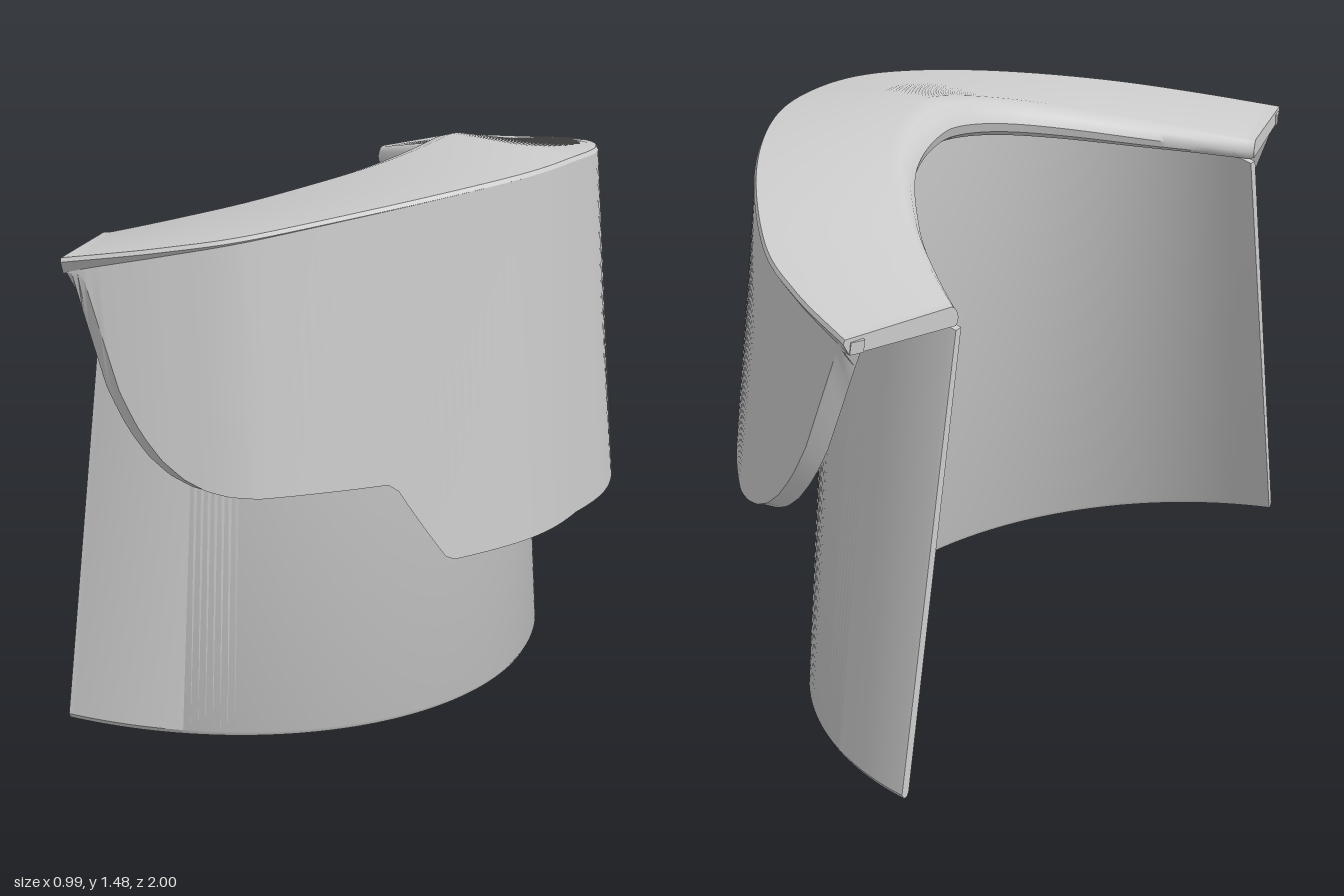
import * as THREE from 'three';
import { toCreasedNormals } from 'three/addons/utils/BufferGeometryUtils.js';

const SEG = 140;
const lerp = THREE.MathUtils.lerp;

// Plan curve (x, z) through half the points, mirrored across z = 0
function planCurve(half) {
  const pts = [
    ...half.slice(1).reverse().map(([x, z]) => new THREE.Vector2(x, -z)),
    ...half.map(([x, z]) => new THREE.Vector2(x, z)),
  ];
  return new THREE.SplineCurve(pts);
}

// Piecewise-linear lookup in [key, value] rows with rising keys
function lookup(rows, k) {
  if (k <= rows[0][0]) return rows[0][1];
  for (let i = 1; i < rows.length; i++) {
    const [k0, v0] = rows[i - 1], [k1, v1] = rows[i];
    if (k <= k1) return lerp(v0, v1, (k - k0) / (k1 - k0));
  }
  return rows[rows.length - 1][1];
}

// Closed solid through cross-sections running from -z to +z
function loft(section) {
  const pos = [], idx = [];
  let n = 0;
  for (let i = 0; i <= SEG; i++) {
    const s = section(i / SEG);
    n = s.length;
    s.forEach((p) => pos.push(...p));
  }
  for (let i = 0; i < SEG; i++) {
    for (let j = 0; j < n; j++) {
      const a = i * n + j, b = i * n + (j + 1) % n;
      idx.push(a, b, b + n, a, b + n, a + n);
    }
  }
  const e = SEG * n;
  for (let j = 1; j < n - 1; j++) idx.push(0, j + 1, j, e, e + j, e + j + 1);
  const g = new THREE.BufferGeometry();
  g.setAttribute('position', new THREE.Float32BufferAttribute(pos, 3));
  g.setIndex(idx);
  return toCreasedNormals(g, 0.6);
}

const outerEdge = planCurve([[0.468, 0], [0.43, 0.23], [0.27, 0.5], [0.02, 0.77], [-0.18, 0.9], [-0.4, 1]]);
const innerEdge = planCurve([[0.03, 0], [-0.02, 0.21], [-0.18, 0.42], [-0.34, 0.57], [-0.49, 0.69]]);
const outerTop = (z) => 1.447 - 0.157 * Math.pow(Math.abs(z), 1.8);

// Curved top band with a rounded inner lip that fades towards both ends
function capSection(u) {
  const t = Math.abs(2 * u - 1);
  const o = outerEdge.getPoint(u), i = innerEdge.getPoint(u);
  const crest = lerp(0.2, 0.06, t), h = lerp(0.11, 0.05, t);
  const yO = outerTop(o.y);
  const zC = Math.min(1, Math.abs(lerp(i.y, o.y, crest)) / 0.7);
  const yC = 1.29 + 0.19 * (1 - Math.pow(zC, 1.3));
  const at = (f, y) => [lerp(i.x, o.x, f), y, lerp(i.y, o.y, f)];
  return [
    at(0.95, yO - 0.04), at(1, yO - 0.01), at(0.985, yO),
    at(crest, yC), at(crest * 0.55, yC - h * 0.1), at(crest * 0.2, yC - h * 0.3),
    at(0, yC - h * 0.6), at(crest * 0.1, yC - h * 0.85), at(crest * 0.4, yC - h),
  ];
}

// Lower edge of the skirt by x: rising ends, level sides, deeper middle
const skirtEdge = [[-0.41, 1.25], [-0.31, 0.97], [-0.26, 0.88], [-0.21, 0.815], [-0.16, 0.77],
  [-0.11, 0.742], [-0.06, 0.727], [0, 0.72], [0.275, 0.72], [0.37, 0.505]];

// Outer skirt, flaring slightly as it goes down, with bevelled ends
function skirtSection(u) {
  const s = Math.abs(2 * u - 1), side = Math.sign(2 * u - 1);
  const o = outerEdge.getPoint(u), tan = outerEdge.getTangent(u);
  const nx = tan.y, nz = -tan.x, top = outerTop(o.y) - 0.01;
  const f = Math.min(1, s * 1.6), tuck = 0.02 * Math.pow(s, 4);
  const at = (inset, y) => {
    const d = top - y, k = inset + tuck;
    return [o.x - nx * k + d * (0.025 + 0.06 * f), y, o.z ?? o.y - nz * k + d * 0.11 * f * side];
  };
  const lowEdge = (inset, bevel) => {
    let low = 0.72;
    for (let k = 0; k < 6; k++) {
      const x = at(inset, low)[0];
      low = lookup(skirtEdge, x < 0.1 ? x - bevel : x);
    }
    return Math.min(low, top - 0.02);
  };
  return [at(0, lowEdge(0, 0.05)), at(0, top), at(0.035, top), at(0.035, lowEdge(0.035, 0))];
}

// Point on an arc through (x0, 0) and (-0.49, +-z0), moved inwards by inset
function arcPoint(x0, z0, v, inset) {
  const d = x0 + 0.49, r = (d * d + z0 * z0) / (2 * d), cx = x0 - r;
  const a = v * Math.atan2(z0, -0.49 - cx);
  return [cx + (r - inset) * Math.cos(a), (r - inset) * Math.sin(a)];
}

// Thin inner wall: a conical sheet that widens towards its foot
function wallSection(u) {
  const v = 2 * u - 1;
  const foot = (inset, lift) => {
    const [x, z] = arcPoint(0.278, 0.925, v, inset);
    return [x, 0.07 * (0.278 - x) / 0.768 + lift, z];
  };
  const head = (inset) => {
    const [x, z] = arcPoint(0.238, 0.7, v, inset);
    return [x, 1.23 + 0.24 * (x + 0.49), z];
  };
  return [foot(0.006, 0), foot(0, 0.012), head(0), head(0.022), foot(0.022, 0.012), foot(0.016, 0)];
}

export function createModel() {
  const group = new THREE.Group();
  group.name = 'curvedChannel';
  const material = new THREE.MeshStandardMaterial({ color: 0xcccccc, side: THREE.DoubleSide });
  const parts = { topBand: capSection, outerSkirt: skirtSection, innerWall: wallSection };
  for (const [name, section] of Object.entries(parts)) {
    const mesh = new THREE.Mesh(loft(section), material);
    mesh.name = name;
    group.add(mesh);
  }
  return group;
}
